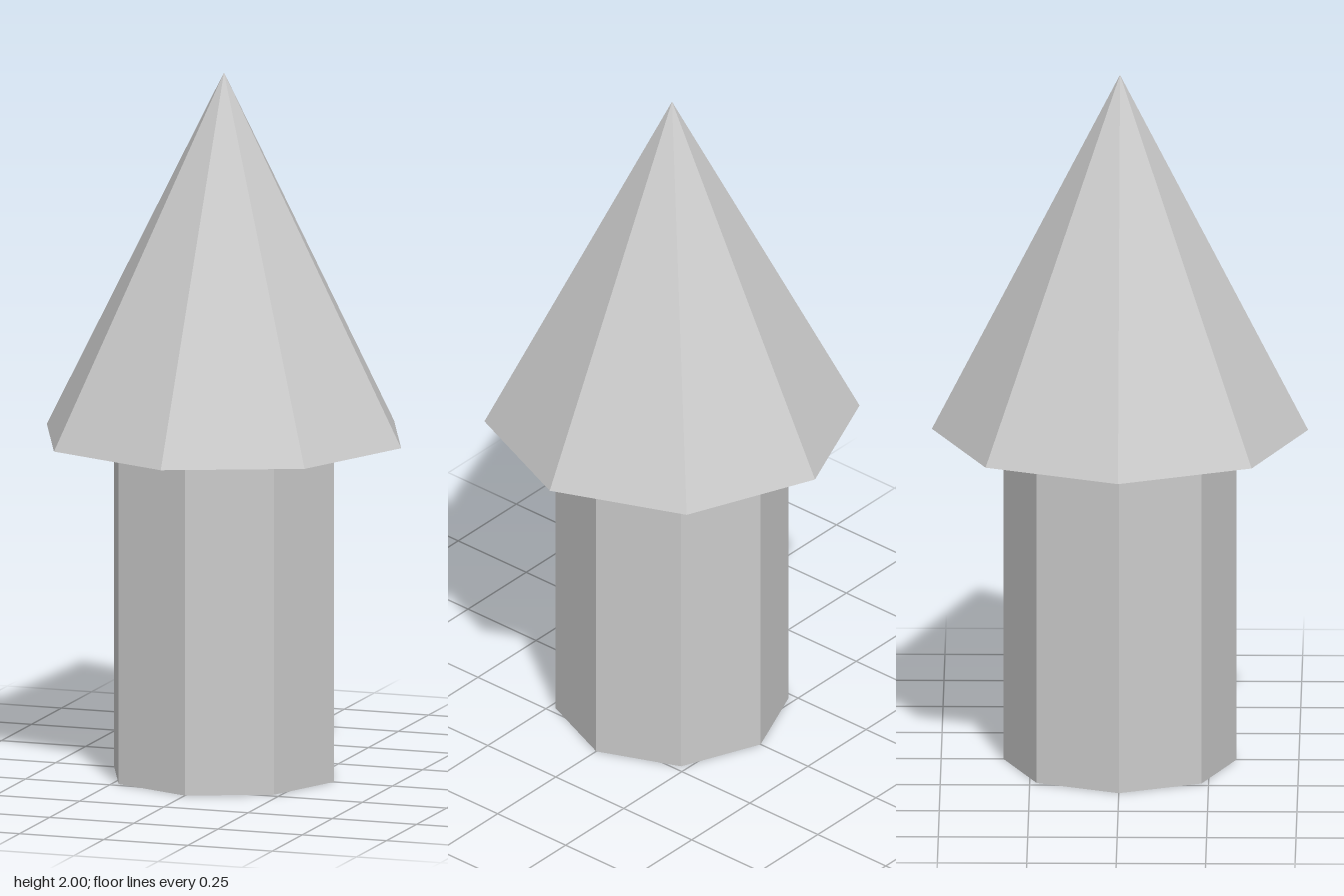
import * as THREE from 'three';

const SIDES = 8;

export function createModel() {
  const group = new THREE.Group();
  const material = new THREE.MeshStandardMaterial({ color: 0xcccccc, flatShading: true });

  // Eight-sided tapered section between two heights
  function addSection(name, topRadius, bottomRadius, bottomY, topY, open) {
    const geometry = new THREE.CylinderGeometry(topRadius, bottomRadius, topY - bottomY, SIDES, 1, open);
    const mesh = new THREE.Mesh(geometry, material);
    mesh.name = name;
    mesh.position.y = (bottomY + topY) / 2;
    group.add(mesh);
  }

  // Straight shaft with closed ends
  addSection('shaft', 0.326, 0.326, 0, 0.956, false);

  // Shallow sloping underside of the overhang
  addSection('capUnderside', 0.526, 0.326, 0.956, 0.964, true);

  // Pointed cap
  addSection('cap', 0, 0.526, 0.964, 2, true);

  return group;
}
